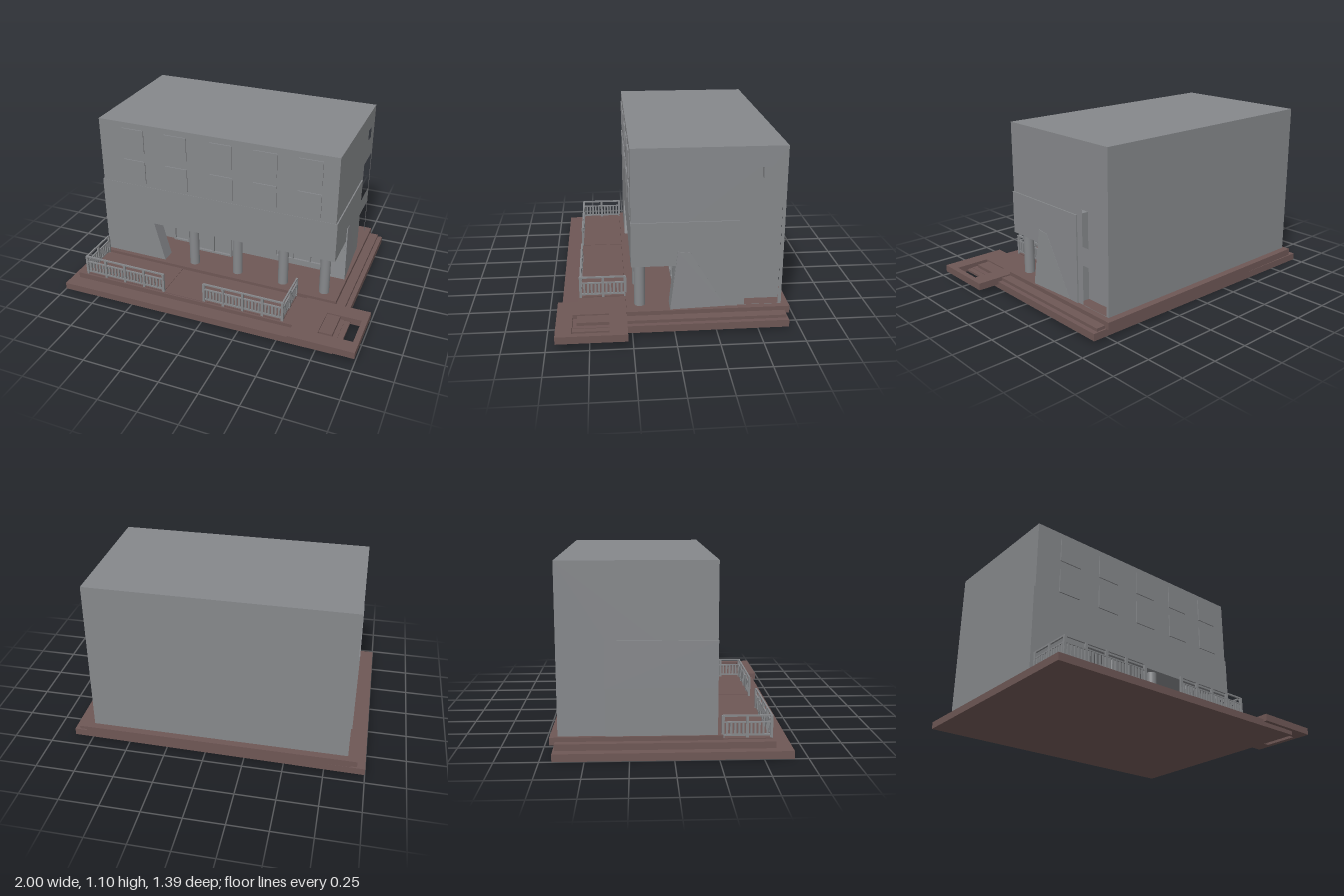
import * as THREE from 'three';

const gray = new THREE.MeshStandardMaterial({ color: 0x86888b });
gray.name = 'concrete gray';
const brown = new THREE.MeshStandardMaterial({ color: 0x6e5755 });
brown.name = 'paving brown';

export function createModel() {
  const model = new THREE.Group();
  model.name = 'building';

  function add(name, geometry, material, parent = model) {
    const mesh = new THREE.Mesh(geometry, material);
    mesh.name = name;
    parent.add(mesh);
    return mesh;
  }
  // Box given by its limits on each axis
  function box(name, x0, x1, y0, y1, z0, z1, material = gray, parent = model) {
    const g = new THREE.BoxGeometry(x1 - x0, y1 - y0, z1 - z0);
    g.translate((x0 + x1) / 2, (y0 + y1) / 2, (z0 + z1) / 2);
    return add(name, g, material, parent);
  }
  const polygon = (pts) => new THREE.Shape(pts.map(([a, b]) => new THREE.Vector2(a, b)));
  const rect = (a0, a1, b0, b1) => [[a0, b0], [a1, b0], [a1, b1], [a0, b1]];
  // Side profile of [z, y] points, extruded from x0 to x1
  function sideExtrude(pts, x0, x1, holes = []) {
    const flip = (list) => list.map(([z, y]) => [-z, y]);
    const shape = polygon(flip(pts));
    shape.holes = holes.map((h) => polygon(flip(h)));
    const g = new THREE.ExtrudeGeometry(shape, { depth: x1 - x0, bevelEnabled: false });
    g.rotateY(Math.PI / 2);
    g.translate(x0, 0, 0);
    return g;
  }

  // Slightly tilted ground slab
  const slab = new THREE.BoxGeometry(1.86, 0.045, 1.35);
  slab.translate(-0.07, 0.0225, -0.005);
  const p = slab.attributes.position;
  for (let i = 0; i < p.count; i++) p.setY(i, p.getY(i) + (p.getX(i) + 1) * 0.0108);
  slab.computeVertexNormals();
  add('groundSlab', slab, brown);

  // Stepped paving
  box('lowerStep', -0.95, 0.83, 0.04, 0.084, -0.67, 0.575, brown);
  box('upperTerrace', -0.91, 0.77, 0.065, 0.11, -0.7, 0.28, brown);
  box('leftPaving', -0.9, -0.31, 0.08, 0.09, 0.27, 0.56, brown);
  box('entrancePaving', -0.31, 0, 0.08, 0.087, 0.27, 0.565, brown);
  box('rightPaving', 0, 0.51, 0.08, 0.09, 0.27, 0.56, brown);

  // Corner landing with an open well
  const landing = polygon(rect(0.58, 1, -0.695, -0.28));
  landing.holes.push(polygon(rect(0.745, 0.895, -0.585, -0.385)));
  landing.holes[0] = polygon(rect(0.745, 0.965, -0.6, -0.385));
  const landingGeo = new THREE.ExtrudeGeometry(landing, { depth: 0.045, bevelEnabled: false });
  landingGeo.rotateX(-Math.PI / 2);
  landingGeo.translate(0, 0.047, 0);
  add('cornerLanding', landingGeo, brown);
  box('wellFloor', 0.7, 0.895, 0.047, 0.062, 0.37, 0.62, brown);

  // Main body, with deep openings in its right end wall
  const profile = [[-0.655, 0.1], [-0.03, 0.1], [-0.03, 0.39], [0.248, 0.39], [0.248, 1.1], [-0.655, 1.1]];
  add('mainBody', sideExtrude(profile, -0.89, 0.65), gray);
  add('rightEndWall', sideExtrude(profile, 0.65, 0.73, [
    rect(-0.635, -0.43, 0.475, 0.75),
    rect(-0.635, -0.43, 0.112, 0.36),
    rect(-0.565, -0.49, 0.9, 0.975),
  ]), gray);
  box('smallWindowBar', 0.66, 0.7, 0.9, 0.975, -0.532, -0.524);

  // Projecting lower band and its solid ends
  box('lowerBand', -0.9, 0.738, 0.385, 0.657, -0.385, 0.25);
  box('leftEndWall', -0.9, -0.87, 0.1, 0.385, -0.385, 0.25);
  const cheek = [[-0.385, 0.1], [0.02, 0.1], [-0.012, 0.39], [-0.385, 0.39]];
  add('rightCheekWall', sideExtrude(cheek, 0.64, 0.738), gray);

  // Slanted front wall panel
  const frontPanel = new THREE.ExtrudeGeometry(
    polygon([[-0.9, 0.1], [-0.455, 0.1], [-0.53, 0.39], [-0.9, 0.39]]),
    { depth: 0.095, bevelEnabled: false });
  frontPanel.translate(0, 0, 0.155);
  add('slantedFrontPanel', frontPanel, gray);

  // Slanted fin on the right side, fading back into the wall
  const fin = sideExtrude([[0.022, 0.1], [-0.025, 0.475], [-0.1, 0.465], [-0.32, 0.1]].reverse(), 0.66, 0.757);
  const f = fin.attributes.position;
  for (let i = 0; i < f.count; i++) {
    if (f.getX(i) > 0.7) f.setX(i, 0.757 - 0.03 * (f.getY(i) - 0.11) - 0.056 * (0.02 - f.getZ(i)));
  }
  fin.computeVertexNormals();
  add('slantedSideFin', fin, gray);

  // Porch columns
  for (const x of [-0.255, 0.063, 0.385, 0.667]) {
    const c = add('porchColumn', new THREE.CylinderGeometry(0.033, 0.033, 0.285, 24), gray);
    c.position.set(x, 0.2475, 0.198);
  }

  // Frame with mullions, on a wall facing the front
  function frame(name, x0, x1, y0, y1, z, bars) {
    const g = new THREE.Group();
    g.name = name;
    model.add(g);
    const t = 0.012, d = 0.015;
    box('frameTop', x0, x1, y1 - t, y1, z, z + d, gray, g);
    box('frameBottom', x0, x1, y0, y0 + t, z, z + d, gray, g);
    for (let i = 0; i <= bars; i++) {
      const x = x0 + (x1 - x0 - t) * i / bars;
      box('mullion', x, x + t, y0 + t, y1 - t, z, z + d, gray, g);
    }
  }
  box('entranceLobby', -0.33, -0.035, 0.1, 0.386, -0.04, 0.035);
  frame('entranceDoors', -0.32, -0.045, 0.11, 0.36, 0.035, 2);
  frame('porchWindow', 0.25, 0.63, 0.15, 0.315, -0.03, 3);
  frame('sideDoor', -0.52, -0.4, 0.11, 0.35, -0.03, 1);

  // Two rows of thin front windows
  for (const y of [0.68, 0.9]) {
    for (const x of [-0.645, -0.343, -0.03, 0.265, 0.553]) {
      box('frontWindow', x - 0.077, x + 0.077, y, y + 0.16, 0.247, 0.2555);
    }
  }

  // Railing along local x, built from equal bays
  function railing(name, length, bays) {
    const g = new THREE.Group();
    g.name = name;
    model.add(g);
    for (const [y, h] of [[0.213, 0.01], [0.176, 0.008], [0.1, 0.01]]) {
      box('rail', 0, length, y, y + h, -0.005, 0.005, gray, g);
    }
    const bay = length / bays;
    for (let i = 0; i <= bays; i++) {
      const x = i * bay;
      box('post', x - 0.008, x + 0.008, 0.085, 0.22, -0.007, 0.007, gray, g);
      if (i === bays) break;
      for (let k = 1; k <= 5; k++) {
        const b = x + bay * k / 6;
        box('baluster', b - 0.006, b + 0.006, 0.105, 0.178, -0.004, 0.004, gray, g);
      }
    }
    return g;
  }
  railing('leftFrontRailing', 0.57, 4).position.set(-0.885, 0, 0.557);
  railing('rightFrontRailing', 0.53, 4).position.set(-0.025, 0, 0.557);
  for (const x of [-0.885, 0.505]) {
    const side = railing('sideRailing', 0.277, 2);
    side.rotation.y = Math.PI / 2;
    side.position.set(x, 0, 0.557);
  }
  return model;
}
